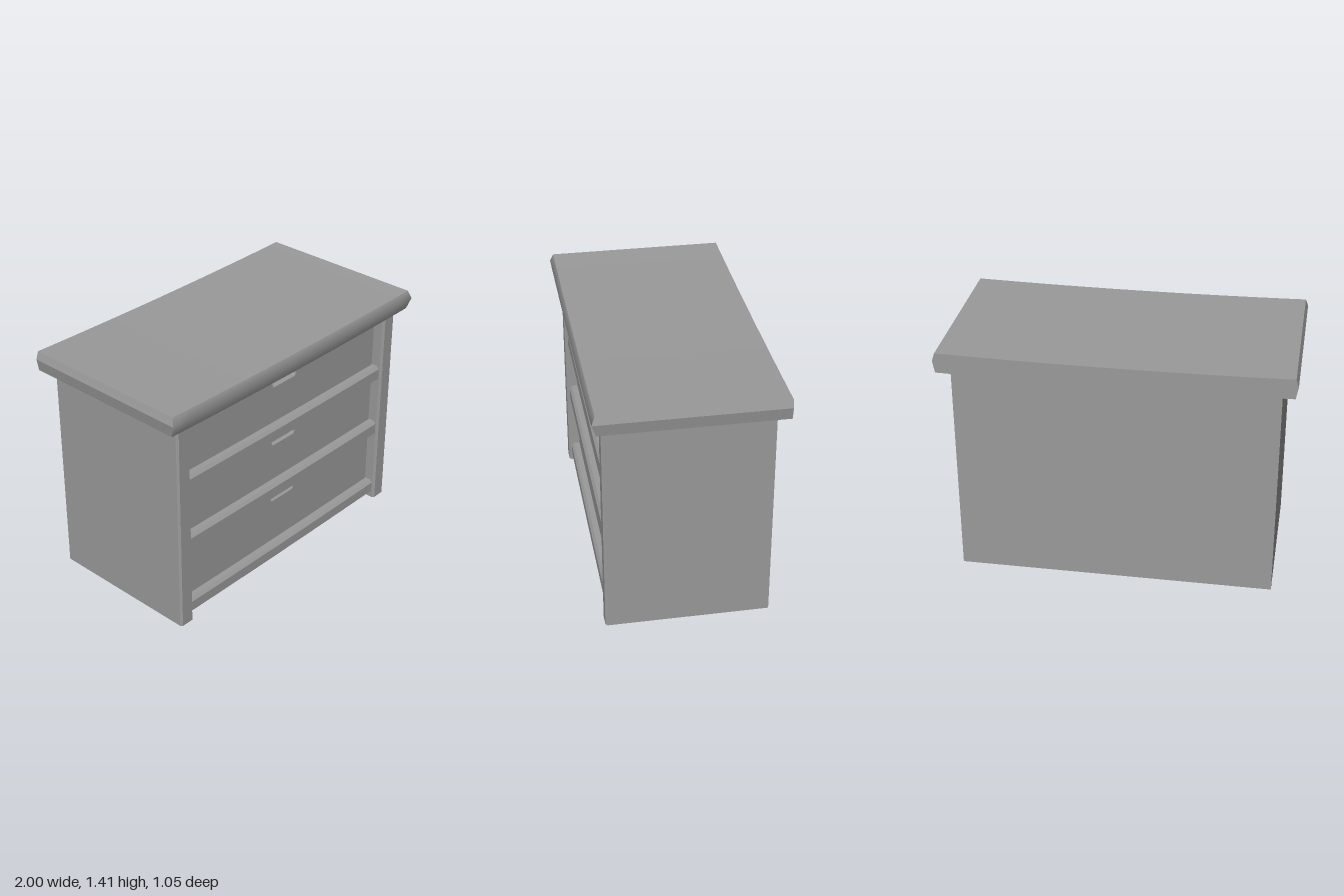
import * as THREE from 'three';

const INNER = 0.82; // half width between the side walls
const material = new THREE.MeshStandardMaterial({ color: 0x9a9a9a });

function addMesh(parent, name, geometry) {
  const mesh = new THREE.Mesh(geometry, material);
  mesh.name = name;
  parent.add(mesh);
  return mesh;
}

// Sag of a worn board: nothing at the ends, deepest in the middle
const sag = (x, half, depth) => -depth * Math.max(0, 1 - (x / half) ** 2);
const drawerSag = (x) => sag(x, INNER, 0.005);

function polygon(points) {
  return new THREE.Shape(points.map(([x, y]) => new THREE.Vector2(x, y)));
}

// Sagging table top with a ridge around the front and both ends
function topGeometry() {
  const rows = {
    '1': { x: 0.985, y: 1.412, front: 0.505 },
    '0': { x: 1.0, y: 1.366, front: 0.525 },
    '-1': { x: 0.987, y: 1.295, front: 0.5 },
  };
  const box = new THREE.BoxGeometry(2, 2, 2, 16, 2, 1);
  const p = box.attributes.position;
  for (let i = 0; i < p.count; i++) {
    const row = rows[String(Math.round(p.getY(i)) + 0)];
    const x = p.getX(i);
    p.setXYZ(i, x * row.x, row.y + sag(x, 1, 0.012), p.getZ(i) > 0 ? row.front : -0.525);
  }
  box.computeVertexNormals();

  // Smooth front and top, flat facets on the two ends
  const g = box.toNonIndexed();
  const smooth = g.attributes.normal.clone();
  g.computeVertexNormals();
  const n = g.attributes.normal;
  for (let i = 0; i < n.count; i++) {
    if (Math.abs(n.getX(i)) < 0.7) n.setXYZ(i, smooth.getX(i), smooth.getY(i), smooth.getZ(i));
  }
  return g;
}

// U-shaped carcass plan: two sides with chamfered front edges, and the back
function carcassGeometry() {
  const half = [[0.917, -0.465], [0.917, 0.455], [0.907, 0.468], [0.832, 0.468], [INNER, 0.455], [INNER, -0.39]];
  const mirrored = half.map(([x, z]) => [-x, z]).reverse();
  const shape = polygon([...half, ...mirrored].map(([x, z]) => [x, -z]));
  const g = new THREE.ExtrudeGeometry(shape, { depth: 1.294, bevelEnabled: false });
  return g.rotateX(-Math.PI / 2);
}

// Drawer front with a rounded finger notch in its chamfered upper edge
function panelGeometry(bottom, top) {
  const w = 0.095, d = 0.05, r = 0.015, bevel = 0.006, steps = 6;
  const s = new THREE.Shape();
  const edge = (x, y) => s.lineTo(x, y + drawerSag(x));
  s.moveTo(-INNER, bottom);
  for (let i = 1; i <= 2 * steps; i++) edge(-INNER + (INNER * i) / steps, bottom);
  for (let i = 0; i <= steps; i++) edge(INNER + ((w - INNER) * i) / steps, top);
  const b = top - 0.005 - d;
  s.lineTo(w, b + r);
  s.quadraticCurveTo(w, b, w - r, b);
  s.lineTo(-w + r, b);
  s.quadraticCurveTo(-w, b, -w, b + r);
  for (let i = 0; i <= steps; i++) edge(-w - ((INNER - w) * i) / steps, top);
  const g = new THREE.ExtrudeGeometry(s, {
    depth: 0.04, curveSegments: 5, bevelSegments: 1,
    bevelThickness: bevel, bevelSize: bevel, bevelOffset: -bevel,
  });
  return g.translate(0, 0, 0.354);
}

// Projecting lower lip of a drawer, swept along x
function lipGeometry(bottom, top) {
  const profile = [[0.37, bottom], [0.437, bottom], [0.45, bottom + 0.01],
    [0.45, top - 0.018], [0.435, top], [0.37, top]];
  const shape = polygon(profile.map(([z, y]) => [-z, y]).reverse());
  const g = new THREE.ExtrudeGeometry(shape, { depth: 2 * INNER, steps: 12, bevelEnabled: false });
  g.rotateY(Math.PI / 2).translate(-INNER, 0, 0);
  const p = g.attributes.position;
  for (let i = 0; i < p.count; i++) p.setY(i, p.getY(i) + drawerSag(p.getX(i)));
  g.computeVertexNormals();
  return g;
}

export function createModel() {
  const dresser = new THREE.Group();
  dresser.name = 'dresser';

  addMesh(dresser, 'top', topGeometry());
  addMesh(dresser, 'carcass', carcassGeometry());

  // Interior block, raised off the floor and set behind the drawer fronts
  const core = addMesh(dresser, 'interior', new THREE.BoxGeometry(2 * INNER, 1.25, 0.75));
  core.position.set(0, 0.655, -0.015);

  // Rail between the top and the upper drawer
  const rail = addMesh(dresser, 'topRail', new THREE.BoxGeometry(2 * INNER, 0.065, 0.06));
  rail.position.set(0, 1.259, 0.365);

  // Drawers: lower edge, top of the lip, upper edge
  const drawers = [[0.853, 0.946, 1.227], [0.466, 0.56, 0.845], [0.036, 0.125, 0.458]];
  drawers.forEach(([bottom, lipTop, top], i) => {
    const drawer = new THREE.Group();
    drawer.name = `drawer${i + 1}`;
    addMesh(drawer, 'drawerFront', panelGeometry(bottom, top));
    addMesh(drawer, 'drawerLip', lipGeometry(bottom, lipTop));
    dresser.add(drawer);
  });

  return dresser;
}
